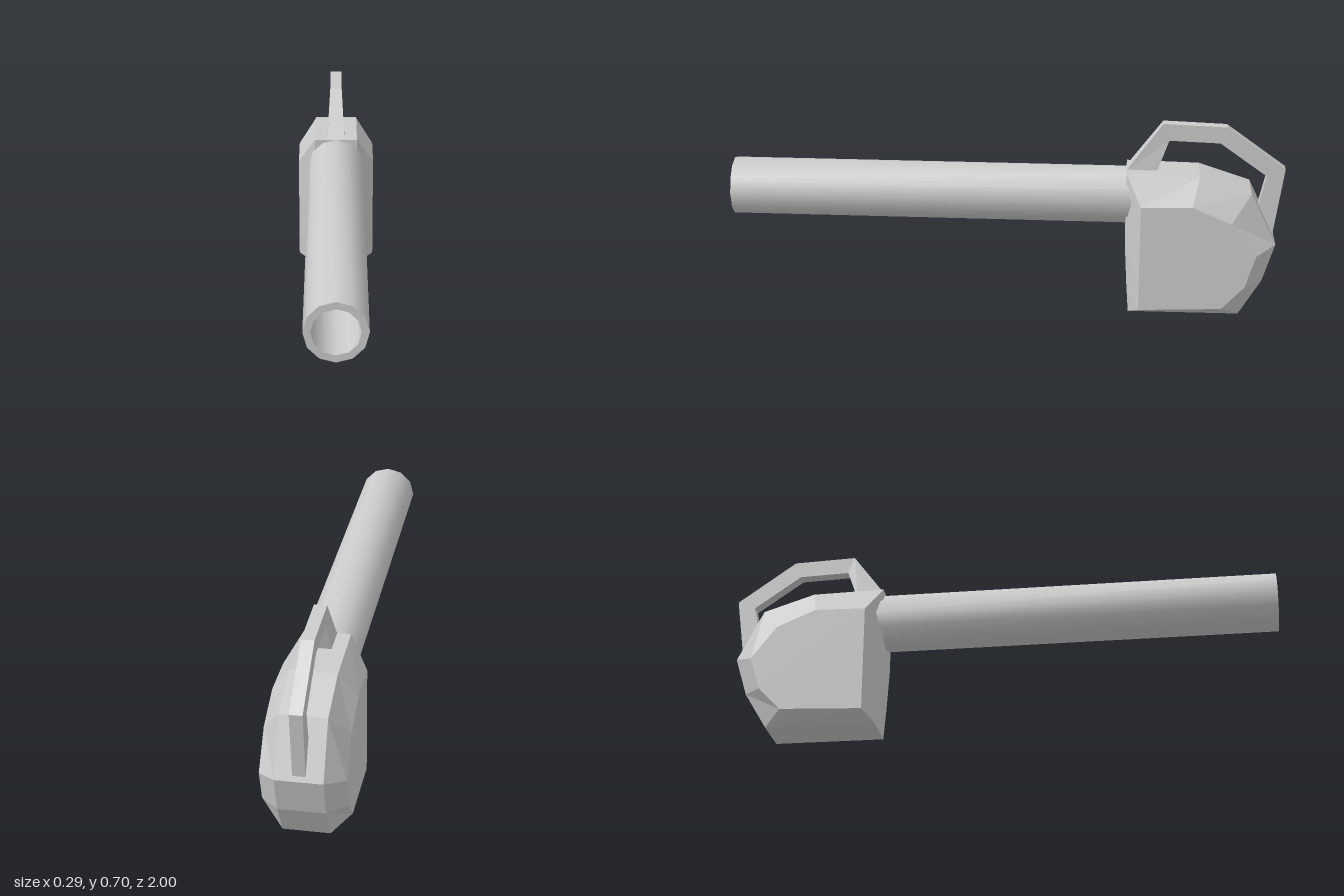
import * as THREE from 'three';
import { toCreasedNormals } from 'three/addons/utils/BufferGeometryUtils.js';

const grey = new THREE.MeshStandardMaterial({ color: 0xcccccc });
const faceted = new THREE.MeshStandardMaterial({ color: 0xcccccc, flatShading: true });

// Closed solid through a row of equal-sized rings of [x, y, z] corners
function loft(rings) {
  const n = rings[0].length, last = (rings.length - 1) * n, index = [];
  for (let r = 0; r < last; r += n) {
    for (let i = 0; i < n; i++) {
      const j = (i + 1) % n;
      index.push(r + i, r + j, r + n + j, r + i, r + n + j, r + n + i);
    }
  }
  for (let i = 1; i < n - 1; i++) {
    index.push(0, i + 1, i, last, last + i, last + i + 1);
  }
  const geometry = new THREE.BufferGeometry();
  geometry.setAttribute('position', new THREE.Float32BufferAttribute(rings.flat(2), 3));
  geometry.setIndex(index);
  const flat = geometry.toNonIndexed();
  flat.computeVertexNormals();
  return flat;
}

function addMesh(group, name, geometry, material) {
  const mesh = new THREE.Mesh(geometry, material);
  mesh.name = name;
  group.add(mesh);
  return mesh;
}

export function createModel() {
  const group = new THREE.Group();
  group.name = 'leafBlower';

  // Motor housing: wide middle outline, bevelled to a smaller outline on each side, [z, y]
  const middle = [[-0.433, 0.535], [-0.695, 0.53], [-0.88, 0.47], [-0.973, 0.28], [-0.93, 0.14],
    [-0.85, 0.007], [-0.45, 0.005], [-0.442, 0.115], [-0.433, 0.275]];
  const side = [[-0.487, 0.43], [-0.67, 0.435], [-0.81, 0.375], [-0.902, 0.255], [-0.865, 0.135],
    [-0.785, 0.05], [-0.487, 0.037], [-0.487, 0.115], [-0.487, 0.235]];
  const slice = (outline, x) => outline.map(([z, y]) => [x, y, z]);
  addMesh(group, 'motorHousing', loft([
    slice(side, 0.145), slice(middle, 0.081), slice(middle, -0.081), slice(side, -0.145),
  ]), faceted);

  // Carrying handle: outer z, y, inner z, y, half width
  const stations = [
    [-0.433, 0.533, -0.54, 0.525, 0.033],
    [-0.56, 0.705, -0.583, 0.643, 0.022],
    [-0.787, 0.697, -0.765, 0.637, 0.022],
    [-1.0, 0.545, -0.935, 0.517, 0.022],
    [-0.963, 0.285, -0.905, 0.385, 0.022],
  ];
  addMesh(group, 'handle', loft(stations.map(([zo, yo, zi, yi, w]) => [
    [-w, yo, zo], [w, yo, zo], [w, yi, zi], [-w, yi, zi],
  ])), faceted);

  // Hollow blower tube pointing forward
  const profile = [[0, -0.47], [0.105, -0.47], [0.105, 1], [0.08, 1], [0.08, -0.43], [0, -0.43]]
    .map(([r, z]) => new THREE.Vector2(r, z));
  const tube = addMesh(group, 'blowerTube',
    toCreasedNormals(new THREE.LatheGeometry(profile, 12), 0.7), grey);
  tube.rotation.x = Math.PI / 2;
  tube.position.y = 0.431;

  return group;
}
